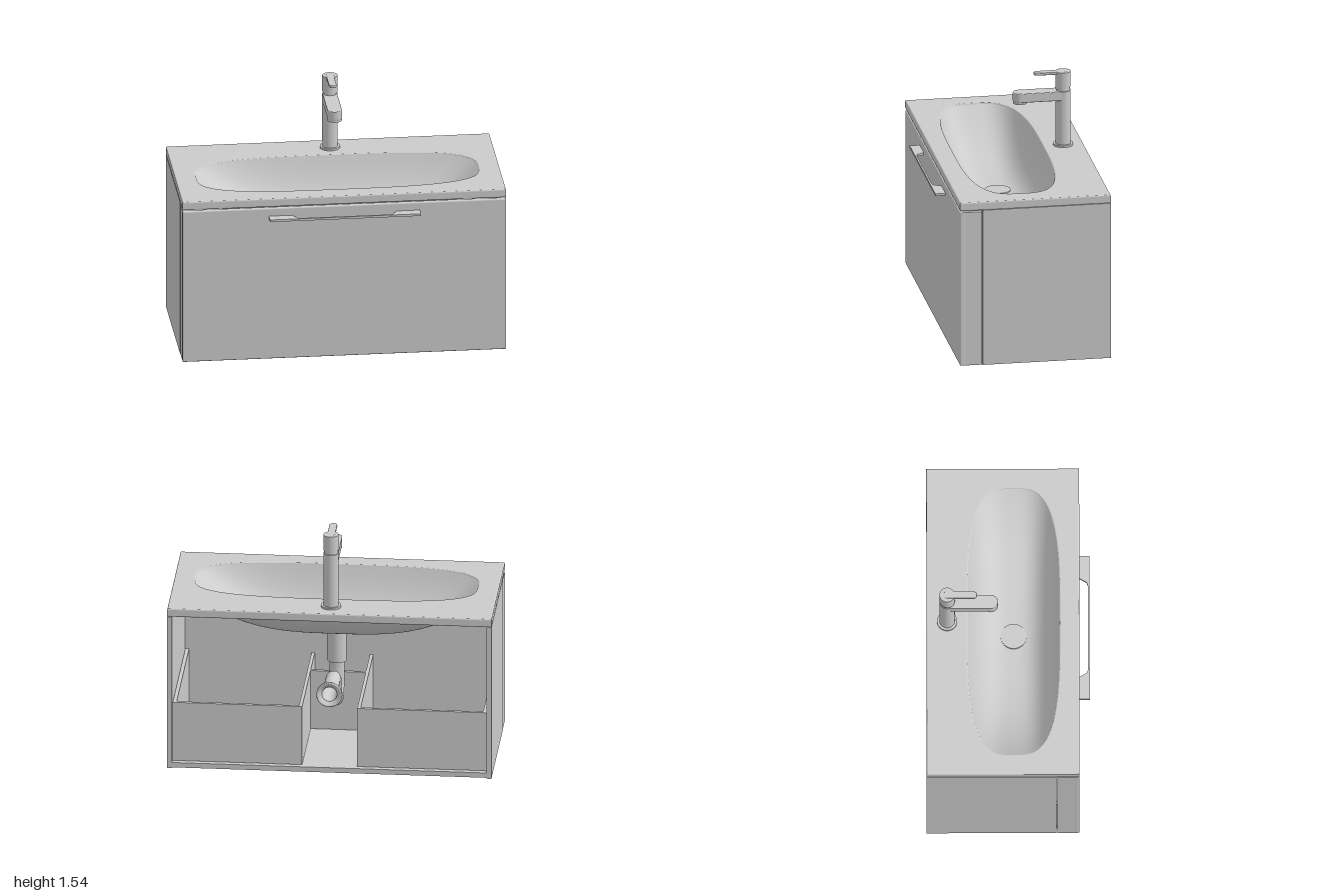
import * as THREE from 'three';
import { RoundedBoxGeometry } from 'three/addons/geometries/RoundedBoxGeometry.js';

const material = new THREE.MeshStandardMaterial({ color: 0xcccccc, side: THREE.DoubleSide });
const BASIN_Z = 0.035;

export function createModel() {
  const root = new THREE.Group();

  const add = (name, geometry, x = 0, y = 0, z = 0) => {
    const mesh = new THREE.Mesh(geometry, material);
    mesh.name = name;
    mesh.position.set(x, y, z);
    root.add(mesh);
    return mesh;
  };
  // Box given by its limits, optionally with rounded edges
  const box = (name, x0, x1, y0, y1, z0, z1, r = 0) => {
    const size = [x1 - x0, y1 - y0, z1 - z0];
    const g = r ? new RoundedBoxGeometry(...size, 2, r) : new THREE.BoxGeometry(...size);
    return add(name, g, (x0 + x1) / 2, (y0 + y1) / 2, (z0 + z1) / 2);
  };
  const cylinder = (name, r, y0, y1, z, r2 = r) =>
    add(name, new THREE.CylinderGeometry(r, r2, y1 - y0, 40), 0, (y0 + y1) / 2, z);
  // Horizontal plate from a plan shape (shape y is -z)
  const plate = (name, shape, y0, y1, b) => {
    const g = new THREE.ExtrudeGeometry(shape, {
      depth: y1 - y0 - 2 * b, bevelEnabled: b > 0, bevelThickness: b,
      bevelSize: b, bevelOffset: -b, bevelSegments: 3, curveSegments: 24,
    });
    g.rotateX(-Math.PI / 2);
    return add(name, g, 0, y0 + b, 0);
  };
  const polygon = (pts) => new THREE.Shape(pts.map(([x, z]) => new THREE.Vector2(x, -z)));
  // Plan shape with a half round at each end, running along z
  const capsule = (r, zBack, zFront) => {
    const s = new THREE.Shape();
    s.absarc(0, -zBack, r, 0, Math.PI, false);
    s.absarc(0, -zFront, r, Math.PI, 2 * Math.PI, false);
    s.closePath();
    return s;
  };

  // Basin outline: a superellipse in plan
  const outline = (t, grow = 0) => {
    const p = (v) => Math.sign(v) * Math.abs(v) ** (2 / 3.2);
    return [(0.87 + grow) * p(Math.cos(t)), (0.283 + grow) * p(Math.sin(t))];
  };
  // Bowl surface made of shrinking outlines that sink toward the middle
  const bowl = (grow, top, depth) => {
    const rings = 24, segs = 96, pos = [], index = [];
    for (let i = 0; i <= rings; i++) {
      const r = 1 - i / rings;
      for (let j = 0; j < segs; j++) {
        const [x, z] = outline((j / segs) * 2 * Math.PI, grow);
        pos.push(x * r, top - depth * (1 - r ** 3), z * r + BASIN_Z);
        if (i === rings) continue;
        const a = i * segs + j, b = i * segs + ((j + 1) % segs);
        index.push(a, b + segs, b, a, a + segs, b + segs);
      }
    }
    const g = new THREE.BufferGeometry();
    g.setAttribute('position', new THREE.Float32BufferAttribute(pos, 3));
    g.setIndex(index);
    g.computeVertexNormals();
    return g;
  };

  // Countertop with the basin opening
  const top = polygon([[-1, 0.44], [1, 0.44], [1, -0.5], [-1, -0.5]]);
  const rim = [];
  for (let j = 0; j < 96; j++) {
    const [x, z] = outline((j / 96) * 2 * Math.PI);
    rim.push(new THREE.Vector2(x, -z - BASIN_Z));
  }
  top.holes.push(new THREE.Path(rim));
  plate('countertop', top, 1.003, 1.057, 0.008);
  add('basinInside', bowl(0, 1.049, 0.27));
  add('basinUnderside', bowl(0.03, 1.004, 0.26));
  cylinder('drainCover', 0.08, 0.775, 0.79, BASIN_Z);

  // Cabinet carcass, open at the back
  for (const s of [-1, 1]) {
    const side = (name, a, b, ...rest) => box(name, Math.min(s * a, s * b), Math.max(s * a, s * b), ...rest);
    side('sidePanel', 0.97, 1, 0, 1.003, -0.5, 0.299);
    side('frontReturn', 0.97, 0.999, 0.002, 0.994, 0.303, 0.43);
    // Drawer compartment on this side
    side('drawerOuterWall', 0.945, 0.968, 0.04, 0.425, -0.47, 0.412);
    side('drawerInnerWall', 0.17, 0.19, 0.04, 0.425, -0.47, 0.412);
    side('drawerBack', 0.19, 0.945, 0.04, 0.425, -0.47, -0.45);
    side('drawerFloor', 0.19, 0.945, 0.04, 0.06, -0.45, 0.412);
  }
  box('bottomPanel', -0.97, 0.97, 0.004, 0.036, -0.495, 0.36);
  box('drawerFront', -1, 1, 0, 0.994, 0.41, 0.44, 0.008);
  box('drawerRecessWall', -0.17, 0.17, 0.04, 0.425, 0.12, 0.14);
  box('drawerMiddleFloor', -0.17, 0.17, 0.04, 0.06, 0.14, 0.412);

  // Thin pull bar with a tapered finger opening
  const pull = polygon([[-0.467, 0.435], [-0.467, 0.503], [0.467, 0.503], [0.467, 0.435],
    [0.325, 0.435], [0.295, 0.485], [0.275, 0.492], [-0.275, 0.492], [-0.295, 0.485], [-0.325, 0.435]]);
  plate('drawerPull', pull, 0.929, 0.943, 0);

  // Tap
  const tapZ = -0.373;
  cylinder('tapBase', 0.062, 1.055, 1.069, tapZ);
  cylinder('tapBody', 0.047, 1.06, 1.413, tapZ);
  cylinder('tapNeck', 0.042, 1.41, 1.445, tapZ);
  const knob = cylinder('tapKnob', 0.047, 1.43, 1.535, tapZ);
  const kp = knob.geometry.attributes.position;
  for (let i = 0; i < kp.count; i++) { // slanted lower edge
    if (kp.getY(i) < 0) kp.setY(i, kp.getY(i) - kp.getZ(i) * 0.2);
  }
  plate('tapSpout', capsule(0.045, tapZ, -0.105), 1.355, 1.414, 0.005);
  cylinder('spoutOutlet', 0.044, 1.342, 1.37, -0.105);
  plate('tapLever', capsule(0.024, tapZ, -0.213), 1.519, 1.536, 0.004);

  // Drain trap running to the back wall
  cylinder('drainTailpiece', 0.06, 0.54, 0.79, BASIN_Z);
  const path = new THREE.CatmullRomCurve3([
    [0.56, 0.035], [0.46, 0.035], [0.37, 0.03], [0.315, -0.03], [0.36, -0.1],
    [0.44, -0.135], [0.505, -0.19], [0.52, -0.27], [0.52, -0.38], [0.52, -0.49],
  ].map(([y, z]) => new THREE.Vector3(0, y, z)));
  add('drainTrap', new THREE.TubeGeometry(path, 80, 0.046, 24));
  const rosette = [[0.046, 0.41], [0.054, 0.42], [0.056, 0.46], [0.08, 0.485], [0.08, 0.5], [0.07, 0.5], [0.046, 0.475]];
  const flange = new THREE.LatheGeometry(rosette.map(([r, d]) => new THREE.Vector2(r, d)), 40);
  flange.rotateX(-Math.PI / 2);
  add('wallFlange', flange, 0, 0.52, 0);

  return root;
}
